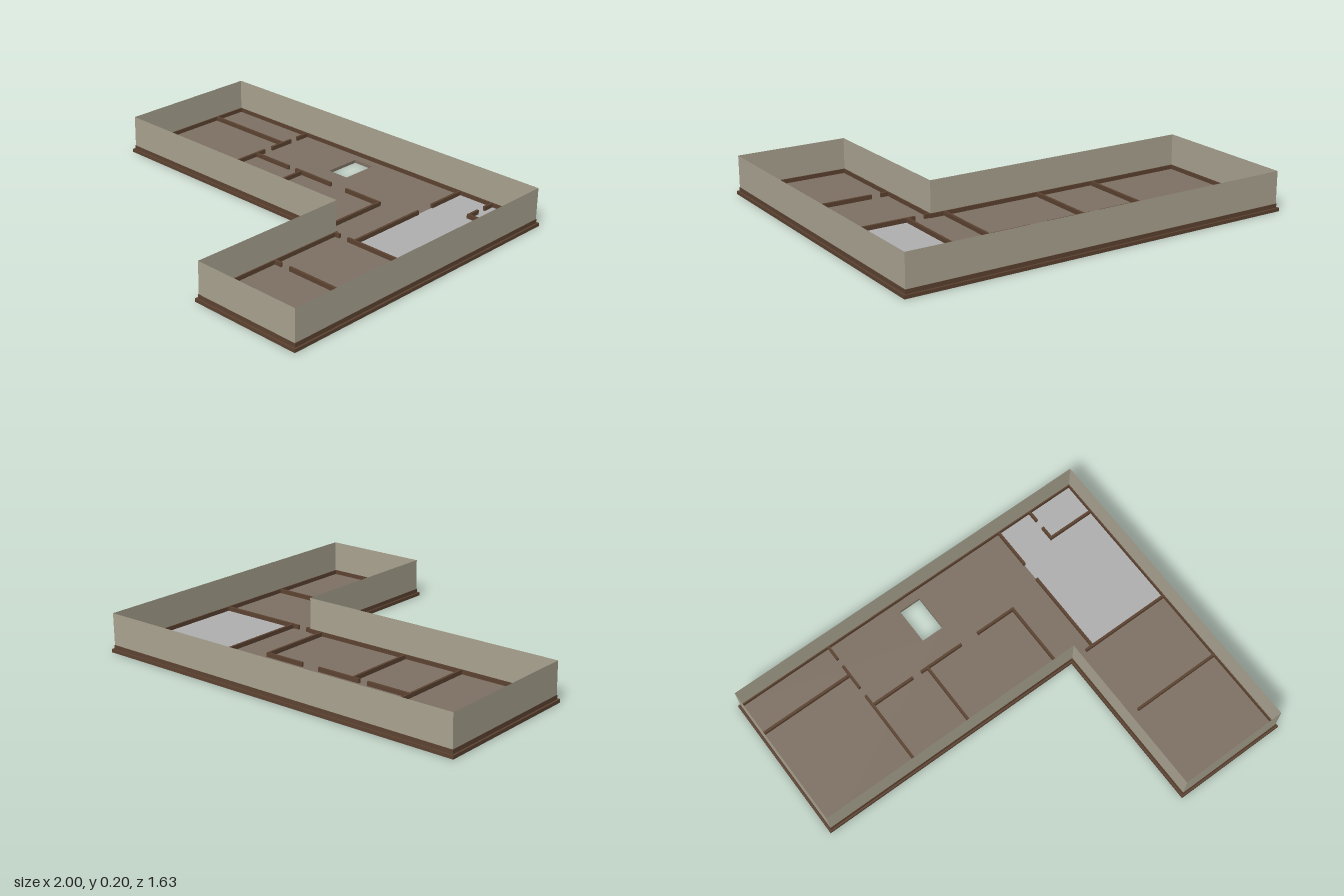
import * as THREE from 'three';

const floorMat = new THREE.MeshStandardMaterial({ name: 'subfloor tan', color: 0x7f7265 });
const slabMat = new THREE.MeshStandardMaterial({ name: 'concrete grey', color: 0xb0b0b0 });
const woodMat = new THREE.MeshStandardMaterial({ name: 'plate brown', color: 0x5c4331 });
const wallMat = new THREE.MeshStandardMaterial({ name: 'sheathing beige', color: 0xaaa491, side: THREE.DoubleSide });

const DECK = 0.016, PLATE_TOP = 0.037, WALL_TOP = 0.195, PLATE_W = 0.012;

// L-shaped footprint as [x, z] corners, moved inward by d
const outline = (d) => [
  [-1 + d, -0.813 + d], [1 - d, -0.813 + d], [1 - d, 0.813 - d],
  [0.413 + d, 0.813 - d], [0.413 + d, -0.033 - d], [-1 + d, -0.033 - d],
];
const rect = (x0, x1, z0, z1) => [[x0, z0], [x1, z0], [x1, z1], [x0, z1]];
const vecs = (pts) => pts.map(([x, z]) => new THREE.Vector2(x, z));

export function createModel() {
  const model = new THREE.Group();
  model.name = 'floorPlan';

  const add = (name, geometry, material, parent = model) => {
    const mesh = new THREE.Mesh(geometry, material);
    mesh.name = name;
    parent.add(mesh);
    return mesh;
  };

  // Flat slab between two heights, with optional hole
  const slab = (name, pts, hole, y0, y1, material) => {
    const shape = new THREE.Shape(vecs(pts));
    if (hole) shape.holes.push(new THREE.Path(vecs(hole)));
    const geo = new THREE.ExtrudeGeometry(shape, { depth: y1 - y0, bevelEnabled: false });
    geo.rotateX(Math.PI / 2).translate(0, y1, 0);
    return add(name, geo, material);
  };

  // Floors: timber deck with stair opening, and a concrete bay at the back left
  const e = 0.001;
  slab('mainFloor', rect(-1 + e, 0.544, -0.813 + e, -0.033 - e),
    rect(-0.095, 0.022, -0.75, -0.557), 0, DECK, floorMat);
  slab('wingFloor', rect(0.413 + e, 1 - e, -0.033 - e, 0.813 - e), null, 0, DECK, floorMat);
  slab('concreteFloor', rect(0.544, 1 - e, -0.813 + e, -0.033 - e), null, 0, DECK, slabMat);

  // Rim board and sole plate around the perimeter
  slab('rimBoard', outline(0), outline(0.012), 0.001, DECK + 0.001, woodMat);
  slab('outerPlate', outline(0.0095), outline(0.0175), DECK, PLATE_TOP, woodMat);

  // Thin exterior sheathing, one sheet per side
  const walls = new THREE.Group();
  walls.name = 'exteriorWalls';
  model.add(walls);
  const pts = outline(0.0115);
  pts.forEach(([x0, z0], i) => {
    const [x1, z1] = pts[(i + 1) % pts.length];
    const geo = new THREE.PlaneGeometry(Math.hypot(x1 - x0, z1 - z0), WALL_TOP - DECK);
    geo.rotateY(Math.atan2(x1 - x0, z1 - z0) + Math.PI / 2);
    geo.translate((x0 + x1) / 2, (WALL_TOP + DECK) / 2, (z0 + z1) / 2);
    add('sheathing', geo, wallMat, walls);
  });

  // Interior sole plates, with gaps at doorways
  const plates = new THREE.Group();
  plates.name = 'interiorPlates';
  model.add(plates);
  const plate = (x0, x1, z0, z1) => {
    const geo = new THREE.BoxGeometry(x1 - x0, PLATE_TOP - DECK, z1 - z0);
    geo.translate((x0 + x1) / 2, (PLATE_TOP + DECK) / 2, (z0 + z1) / 2);
    add('interiorPlate', geo, woodMat, plates);
  };
  const h = PLATE_W / 2;
  // Running left to right: [z, x start, x end]
  [
    [-0.618, -0.985, -0.483], [-0.425, -0.489, -0.248], [-0.425, -0.2, 0.04],
    [-0.425, 0.137, 0.358], [-0.62, 0.731, 0.985], [-0.039, 0.42, 0.455],
    [-0.039, 0.505, 0.985], [0.35, 0.425, 0.468], [0.35, 0.517, 0.985],
  ].forEach(([z, x0, x1]) => plate(x0, x1, z - h, z + h));
  // Running front to back: [x, z start, z end]
  [
    [-0.483, -0.8, -0.72], [-0.483, -0.675, -0.535], [-0.483, -0.485, -0.045],
    [-0.162, -0.425, -0.045], [0.352, -0.425, -0.045], [0.544, -0.8, -0.583],
    [0.544, -0.485, -0.04], [0.737, -0.8, -0.738], [0.737, -0.69, -0.62],
  ].forEach(([x, z0, z1]) => plate(x - h, x + h, z0, z1));

  return model;
}
